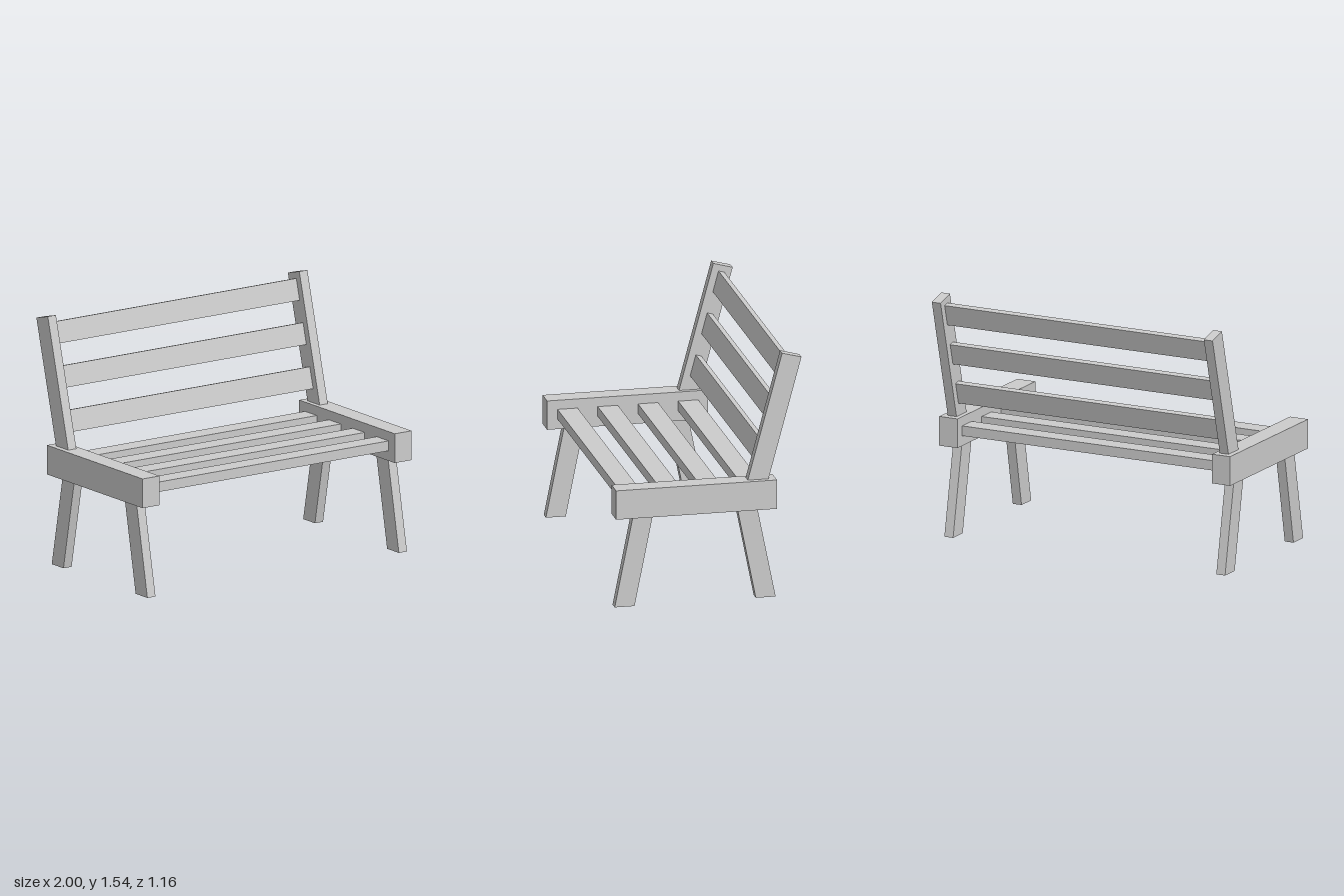
import * as THREE from 'three';

const material = new THREE.MeshStandardMaterial({ color: 0xcccccc, flatShading: true });

function addBox(parent, name, size, position) {
  const mesh = new THREE.Mesh(new THREE.BoxGeometry(...size), material);
  mesh.name = name;
  mesh.position.set(...position);
  parent.add(mesh);
  return mesh;
}

// Leg with level ends: a box sheared along z
function addLeg(parent, name, x, footZ, slope) {
  const height = 0.6;
  const leg = addBox(parent, name, [0.06, height, 0.123], [x, height / 2, footZ + slope * height / 2]);
  const shear = new THREE.Matrix4().set(1, 0, 0, 0, 0, 1, 0, 0, 0, slope, 1, 0, 0, 0, 0, 1);
  leg.geometry.applyMatrix4(shear);
  leg.geometry.computeVertexNormals();
}

export function createModel() {
  const bench = new THREE.Group();
  bench.name = 'bench';

  // Leaning backrest frame, measured down from the post tops
  const backrest = new THREE.Group();
  backrest.name = 'backrest';
  backrest.position.set(0, 1.525, -0.52);
  backrest.rotation.x = -THREE.MathUtils.degToRad(15.1);
  bench.add(backrest);

  // Side rails, splayed legs and back posts
  for (const [side, s] of [['left', 1], ['right', -1]]) {
    addBox(bench, `${side}Rail`, [0.125, 0.183, 1], [s * 0.9375, 0.6585, 0.08]);
    addLeg(bench, `${side}FrontLeg`, s * 0.935, 0.519, -0.2);
    addLeg(bench, `${side}RearLeg`, s * 0.935, -0.358, 0.2);
    addBox(backrest, `${side}Post`, [0.06, 0.89, 0.124], [s * 0.935, -0.445, 0]);
  }

  // Seat slats between the rails
  for (let i = 0; i < 4; i++) {
    addBox(bench, `seatSlat${i + 1}`, [1.75, 0.062, 0.125], [0, 0.661, 0.453 - i * 0.25]);
  }

  // Backrest slats between the posts
  for (let i = 0; i < 3; i++) {
    addBox(backrest, `backSlat${i + 1}`, [1.81, 0.135, 0.037], [0, -0.107 - i * 0.271, 0]);
  }

  return bench;
}
